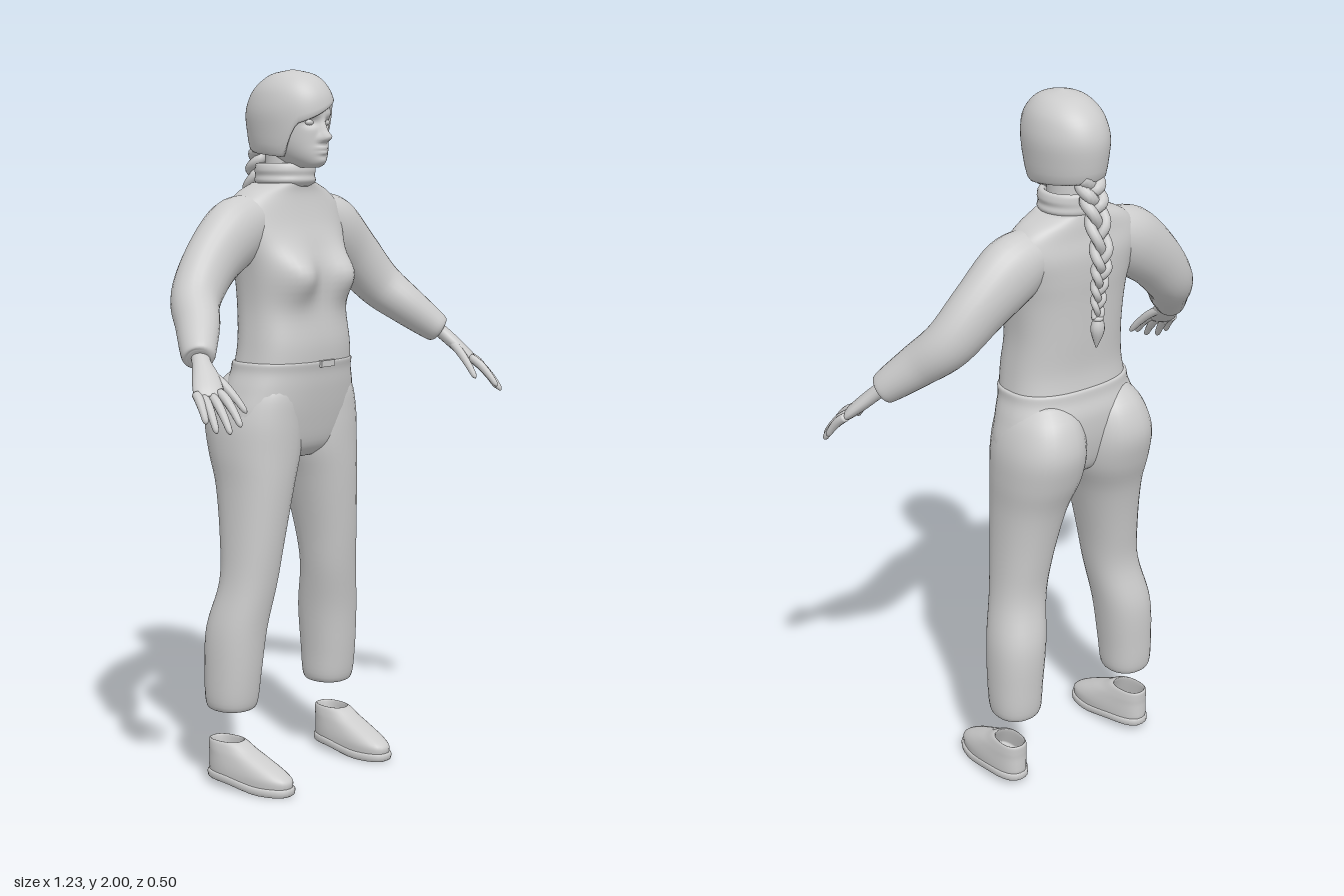
import * as THREE from 'three';

const V = (x, y, z) => new THREE.Vector3(x, y, z);
const clay = new THREE.MeshStandardMaterial({ color: 0xcccccc, side: THREE.DoubleSide });
clay.name = 'pale grey';

// Catmull-Rom interpolation of number rows
function smooth(rows, sub) {
  const out = [], at = i => rows[Math.max(0, Math.min(rows.length - 1, i))];
  for (let i = 0; i < rows.length - 1; i++) {
    for (let k = 0; k < sub; k++) {
      const t = k / sub;
      out.push(rows[i].map((p1, c) => {
        const p0 = at(i - 1)[c], p2 = at(i + 1)[c], p3 = at(i + 2)[c];
        return p1 + 0.5 * t * (p2 - p0 + t * (2 * p0 - 5 * p1 + 4 * p2 - p3 + t * (3 * (p1 - p2) + p3 - p0)));
      }));
    }
  }
  out.push(rows[rows.length - 1]);
  return out;
}

// Skin over closed rings, with optional end caps
function skin(rings, capStart = true, capEnd = true) {
  const n = rings[0].length, pts = rings.flat(), idx = [];
  for (let i = 0; i < rings.length - 1; i++) {
    for (let j = 0; j < n; j++) {
      const a = i * n + j, b = i * n + (j + 1) % n, c = a + n, d = b + n;
      idx.push(a, c, b, b, c, d);
    }
  }
  const cap = (row, flip) => {
    const mid = V(0, 0, 0);
    rings[row].forEach(p => mid.addScaledVector(p, 1 / n));
    const m = pts.push(mid) - 1;
    for (let j = 0; j < n; j++) {
      const a = row * n + j, b = row * n + (j + 1) % n;
      flip ? idx.push(m, b, a) : idx.push(m, a, b);
    }
  };
  if (capStart) cap(0, false);
  if (capEnd) cap(rings.length - 1, true);
  const g = new THREE.BufferGeometry().setFromPoints(pts);
  g.setIndex(idx);
  g.computeVertexNormals();
  return g;
}

// Upright loft; rows: [y, centreX, halfX, zFront, zBack]
function loft(rows, { n = 32, sub = 5, e = 2.2, rule = null, start = true, end = true } = {}) {
  const pw = v => Math.sign(v) * Math.abs(v) ** (2 / e);
  return skin(smooth(rows, sub).map(([y, cx, hx, zf, zb]) => Array.from({ length: n }, (_, j) => {
    const a = j / n * Math.PI * 2;
    const p = V(cx + pw(Math.cos(a)) * hx, y, (zf + zb) / 2 + pw(Math.sin(a)) * (zf - zb) / 2);
    if (rule) rule(p, Math.sin(a));
    return p;
  })), start, end);
}

// Sweep along a path; rows: [x, y, z, radiusAlongRef, radiusAcross]
function sweep(rows, { n = 16, sub = 5, ref = V(0, 0, 1) } = {}) {
  const s = smooth(rows.map(r => [...r, r[4] ?? r[3]].slice(0, 5)), sub);
  const pos = s.map(r => V(r[0], r[1], r[2]));
  return skin(s.map((r, i) => {
    const t = pos[Math.min(i + 1, s.length - 1)].clone().sub(pos[Math.max(i - 1, 0)]).normalize();
    const u = ref.clone().addScaledVector(t, -ref.dot(t)).normalize(), v = u.clone().cross(t);
    return Array.from({ length: n }, (_, j) => {
      const a = j / n * Math.PI * 2;
      return pos[i].clone().addScaledVector(u, Math.cos(a) * r[3]).addScaledVector(v, Math.sin(a) * r[4]);
    });
  }));
}

function mirror(g) {
  const m = g.clone().scale(-1, 1, 1);
  m.index.array.reverse();
  m.computeVertexNormals();
  return m;
}

export function createModel() {
  const model = new THREE.Group();
  const add = (name, g) => {
    const mesh = new THREE.Mesh(g, clay);
    mesh.name = name;
    model.add(mesh);
  };
  const pair = (name, g) => { add('left ' + name, g); add('right ' + name, mirror(g)); };
  const bump = (p, x, y, sx, sy) => Math.exp(-(((Math.abs(p.x) - x) / sx) ** 2) - ((p.y - y) / sy) ** 2);

  // Jumper with a shaped chest and roll neck
  add('jumper', loft([
    [1.175, 0, 0.188, 0.055, -0.19], [1.25, 0, 0.178, 0.058, -0.18], [1.35, 0, 0.17, 0.045, -0.185],
    [1.45, 0, 0.178, 0.04, -0.19], [1.52, 0, 0.192, 0.022, -0.195], [1.58, 0, 0.205, 0, -0.195],
    [1.63, 0, 0.195, -0.015, -0.185], [1.665, 0, 0.155, -0.022, -0.18], [1.69, 0, 0.09, -0.02, -0.175]],
  { n: 64, e: 2.5, rule: (p, s) => { if (s > 0) p.z += 0.055 * s * bump(p, 0.1, 1.435, 0.062, 0.065); } }));
  add('roll neck', loft([
    [1.68, 0, 0.075, -0.02, -0.17], [1.695, 0, 0.086, -0.008, -0.178], [1.71, 0, 0.083, -0.01, -0.178],
    [1.725, 0, 0.086, -0.008, -0.178], [1.742, 0, 0.08, -0.013, -0.175], [1.74, 0, 0.066, -0.028, -0.16],
    [1.70, 0, 0.062, -0.03, -0.155]], { e: 2, end: false }));
  add('neck', loft([[1.68, 0, 0.058, -0.03, -0.15], [1.79, 0, 0.056, -0.03, -0.15]], { e: 2 }));

  // Sleeves and hands
  pair('sleeve', sweep([
    [0.12, 1.595, -0.10, 0.07], [0.2, 1.558, -0.10, 0.078, 0.094], [0.3, 1.48, -0.095, 0.07, 0.083],
    [0.385, 1.39, -0.07, 0.066, 0.071], [0.44, 1.325, -0.01, 0.06, 0.058], [0.49, 1.272, 0.04, 0.05, 0.047],
    [0.508, 1.252, 0.06, 0.043, 0.04], [0.512, 1.248, 0.064, 0.028, 0.028]], { n: 24 }));
  const across = V(0.055, 0, -0.04);
  pair('palm', sweep([
    [0.495, 1.265, 0.05, 0.026, 0.02], [0.515, 1.24, 0.075, 0.025, 0.02], [0.535, 1.205, 0.11, 0.036, 0.019],
    [0.555, 1.175, 0.138, 0.04, 0.016], [0.565, 1.158, 0.152, 0.034, 0.011]], { ref: across }));
  const fingers = [
    ['index finger', [0.537, 1.172, 0.16], [0.55, 1.092, 0.247]],
    ['middle finger', [0.557, 1.162, 0.155], [0.581, 1.076, 0.24]],
    ['ring finger', [0.575, 1.16, 0.142], [0.602, 1.078, 0.212]],
    ['little finger', [0.587, 1.168, 0.126], [0.61, 1.1, 0.183]],
    ['thumb', [0.515, 1.215, 0.105], [0.492, 1.118, 0.212]]];
  for (const [name, a, b] of fingers) {
    const stops = [[0, 0.012], [0.35, 0.0125], [0.7, 0.0105], [0.93, 0.008], [1, 0.002]];
    pair(name, sweep(stops.map(([t, r]) => [0, 1, 2].map(i => a[i] + (b[i] - a[i]) * t
      + (i === 1 ? 0.01 * Math.sin(t * Math.PI) : 0)).concat(r)), { n: 10, sub: 3, ref: across }));
  }

  // Trousers
  add('trouser seat', loft([
    [0.925, 0, 0.12, -0.02, -0.13], [0.96, 0, 0.2, 0.015, -0.18], [1.04, 0, 0.23, 0.036, -0.205],
    [1.12, 0, 0.213, 0.05, -0.21], [1.17, 0, 0.196, 0.055, -0.198], [1.197, 0, 0.192, 0.06, -0.194],
    [1.2, 0, 0.18, 0.05, -0.185]], { n: 48, e: 2.4 }));
  pair('trouser leg', loft([
    [0.235, 0.208, 0.035, -0.08, -0.145], [0.218, 0.208, 0.05, -0.06, -0.165], [0.235, 0.208, 0.07, -0.042, -0.184],
    [0.32, 0.206, 0.076, -0.03, -0.19], [0.45, 0.196, 0.081, -0.018, -0.19], [0.58, 0.172, 0.078, 0, -0.162],
    [0.7, 0.157, 0.083, 0.014, -0.172], [0.85, 0.137, 0.099, 0.027, -0.2], [0.95, 0.122, 0.118, 0.032, -0.235],
    [1.04, 0.118, 0.118, 0.034, -0.252], [1.12, 0.112, 0.098, 0.03, -0.228], [1.17, 0.11, 0.06, 0, -0.18]], { e: 2.2 }));
  const clasp = new THREE.BoxGeometry(0.055, 0.018, 0.012);
  clasp.translate(0, 1.193, 0.061);
  add('waist clasp', clasp);

  // Open shoes on thin soles
  const place = g => g.translate(0, 0, 0.03).rotateY(-0.08).translate(0.222, 0, -0.03);
  pair('shoe', place(loft([
    [0.02, 0, 0.052, 0.108, -0.163], [0.045, 0, 0.054, 0.11, -0.168], [0.065, 0, 0.053, 0.083, -0.168],
    [0.09, 0, 0.049, 0.03, -0.167], [0.11, 0, 0.045, -0.015, -0.168], [0.13, 0, 0.039, -0.05, -0.168],
    [0.127, 0, 0.033, -0.06, -0.16], [0.07, 0, 0.036, -0.03, -0.155]], { e: 2.4 })));
  pair('sole', place(loft([
    [0.004, 0, 0.05, 0.105, -0.165], [0.008, 0, 0.057, 0.114, -0.171], [0.024, 0, 0.058, 0.116, -0.172],
    [0.028, 0, 0.052, 0.11, -0.166]], { e: 2.5, sub: 2,
    rule: p => { p.y += 0.016 * THREE.MathUtils.smoothstep(-p.z, -0.04, 0.1); } })));

  // Head with modelled nose, lips and eye sockets
  add('head', loft([
    [1.732, 0, 0.025, 0.025, -0.05], [1.742, 0, 0.042, 0.04, -0.09], [1.765, 0, 0.061, 0.047, -0.13],
    [1.8, 0, 0.076, 0.046, -0.16], [1.85, 0, 0.084, 0.046, -0.18], [1.9, 0, 0.087, 0.047, -0.18],
    [1.94, 0, 0.075, 0.03, -0.16], [1.97, 0, 0.04, -0.01, -0.12]],
  { n: 96, sub: 8, e: 2.1, rule: (p, s) => {
    if (s <= 0) return;
    p.z += 0.028 * bump(p, 0, 1.815, 0.012, 0.014) + 0.014 * bump(p, 0, 1.838, 0.009, 0.022)
      + 0.008 * bump(p, 0.012, 1.81, 0.009, 0.008) + 0.01 * bump(p, 0, 1.786, 0.02, 0.006)
      + 0.009 * bump(p, 0, 1.773, 0.017, 0.006) + 0.006 * bump(p, 0, 1.75, 0.02, 0.012)
      - 0.011 * bump(p, 0.034, 1.855, 0.019, 0.012) + 0.004 * bump(p, 0.035, 1.877, 0.025, 0.007);
  } }));
  const eye = new THREE.SphereGeometry(0.012, 16, 10).scale(1.2, 0.7, 0.8);
  pair('eye', eye.translate(0.034, 1.855, 0.026));

  // Hair cap whose lower edge sweeps across the brow and down behind the cheeks
  const cap = smooth([
    [1.74, 0.08, 0.05, -0.175], [1.78, 0.096, 0.055, -0.197], [1.83, 0.103, 0.06, -0.207],
    [1.88, 0.107, 0.063, -0.211], [1.92, 0.101, 0.058, -0.2], [1.95, 0.09, 0.043, -0.18],
    [1.975, 0.07, 0.02, -0.15], [1.99, 0.046, -0.01, -0.12], [2.0, 0.004, -0.06, -0.068]], 8);
  const sample = y => {
    let i = 1;
    while (i < cap.length - 1 && cap[i][0] < y) i++;
    const a = cap[i - 1], b = cap[i], t = Math.max(0, Math.min(1, (y - a[0]) / (b[0] - a[0])));
    return a.map((v, c) => v + (b[c] - v) * t);
  };
  const hairRow = (k, inset) => Array.from({ length: 72 }, (_, j) => {
    const a = j / 72 * Math.PI * 2, c = Math.cos(a), s = Math.sin(a);
    const w = THREE.MathUtils.smoothstep(s, 0.3, 0.72);
    const low = (1.765 - 0.012 * s) * (1 - w) + (1.888 + 0.05 * c) * w;
    const y = low + (2 - low) * (1 - (1 - k) ** 2);
    const [, hx, zf, zb] = sample(y);
    return V(c * hx * inset, y, (zf + zb) / 2 + s * inset * (zf - zb) / 2);
  });
  const hairRows = [hairRow(0, 0.8), hairRow(0, 0.96)];
  for (let k = 0; k <= 20; k++) hairRows.push(hairRow(0.02 + 0.98 * k / 20, 1));
  add('hair cap', skin(hairRows, false, true));

  // Three-strand plait down the back
  const spine = new THREE.CatmullRomCurve3([V(0, 1.79, -0.17), V(0, 1.71, -0.2), V(0, 1.58, -0.228),
    V(0, 1.49, -0.218), V(0, 1.41, -0.214)]);
  for (let s = 0; s < 3; s++) {
    const rows = Array.from({ length: 37 }, (_, i) => {
      const t = i / 36, f = Math.PI * 2 * (2.6 * t + s / 3), p = spine.getPoint(t), taper = 1 - 0.6 * t;
      return [p.x + 0.028 * taper * Math.sin(f), p.y, p.z + 0.013 * taper * Math.sin(2 * f), 0.019 * taper, 0.017 * taper];
    });
    add('plait strand ' + (s + 1), sweep(rows, { n: 10, sub: 2, ref: V(1, 0, 0) }));
  }
  add('plait band', new THREE.TorusGeometry(0.011, 0.006, 8, 16).rotateX(Math.PI / 2).translate(0, 1.41, -0.214));
  add('plait tuft', sweep([[0, 1.415, -0.214, 0.01], [0, 1.39, -0.215, 0.02, 0.017], [0, 1.365, -0.214, 0.018, 0.015],
    [0, 1.325, -0.21, 0.002]], { n: 12, ref: V(1, 0, 0) }));

  return model;
}
